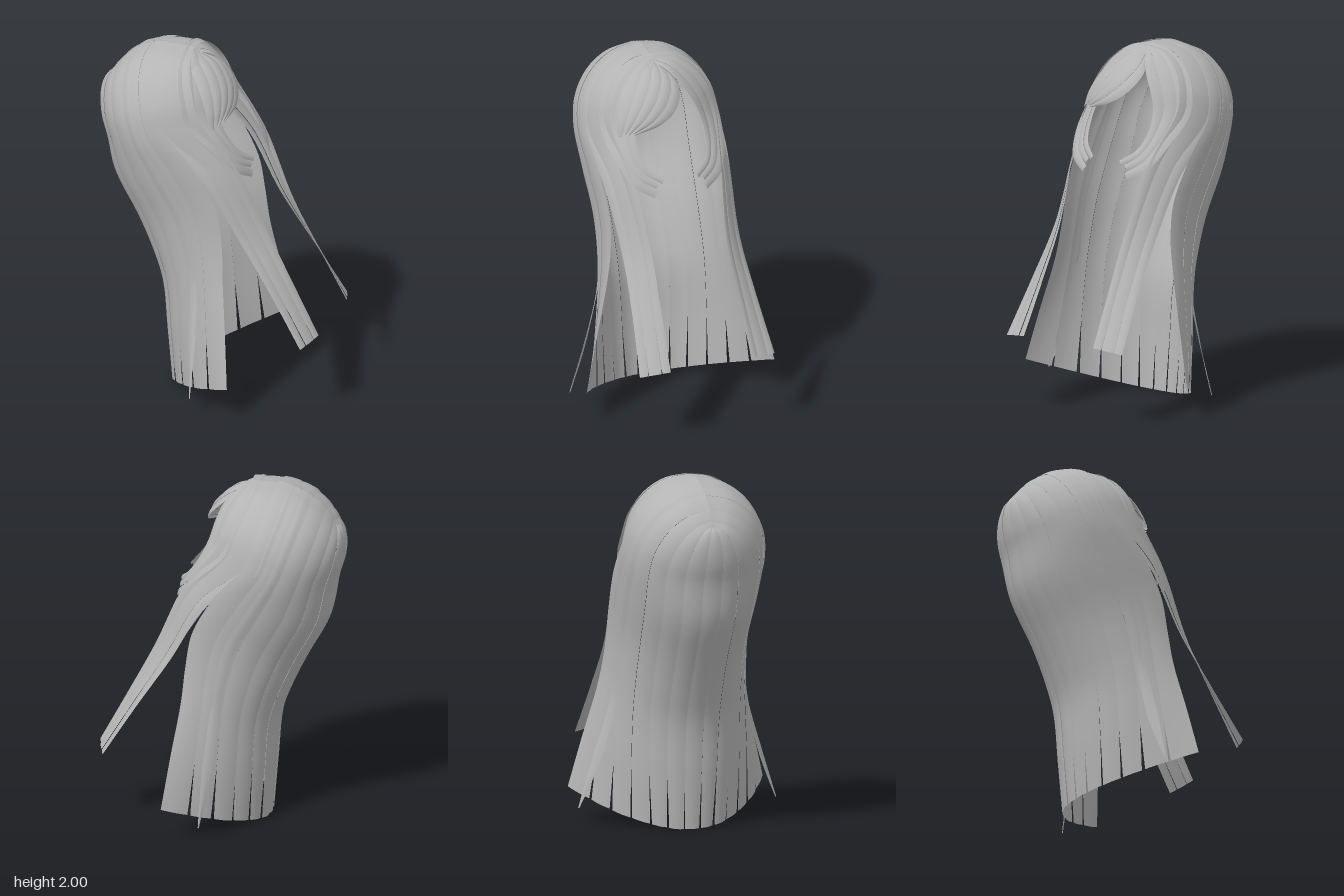
import * as THREE from 'three';

const hair = new THREE.MeshStandardMaterial({ color: 0xb4b4b4, side: THREE.DoubleSide });
hair.name = 'hair grey';

const RAD = Math.PI / 180, CENTRE = 0.25, CROWN = 1.6, EDGE = 100;
const lerp = THREE.MathUtils.lerp;
const V = (x, y, z) => new THREE.Vector3(x, y, z);

// Long fall below the crown: height, centre z, back z, half width, round (0) to parabolic (1)
const FALL = [
  [1.38, 0.31, -0.195, 0.395, 0], [1.1, 0.35, -0.165, 0.38, 0], [0.9, 0.32, -0.15, 0.387, 0.05],
  [0.7, 0.27, -0.155, 0.42, 0.25], [0.41, 0.2, -0.235, 0.495, 0.65], [0.12, 0.13, -0.32, 0.57, 1],
];

// Rounded path from the parting to the widest ring of the head (0 = back, 180 = face)
function dome(deg) {
  const a = deg * RAD, k = THREE.MathUtils.smoothstep(Math.abs(deg), 25, 140);
  const rootZ = lerp(-0.03, 0.51, k);
  const rootY = CROWN + 0.41 * Math.sqrt(1 - ((rootZ - CENTRE) / 0.42) ** 2);
  const ringX = 0.397 * Math.sin(a), ringZ = CENTRE - 0.405 * Math.cos(a);
  return [0, 22.5, 45, 67.5, 90].map((d) => {
    const s = Math.sin(d * RAD), c = Math.cos(d * RAD);
    return V(ringX * s, CROWN + (rootY - CROWN) * c, lerp(rootZ, ringZ, s));
  });
}

function fallColumn(deg) {
  const a = deg * RAD, s = deg / EDGE;
  return dome(deg).concat(FALL.map(([y, c, b, w, k]) => V(
    w * lerp(Math.sin(a), s, k), y, c - (c - b) * lerp(Math.cos(a), 1 - 1.17 * s * s, k))));
}

// Column blended between an outer and an inner path
const path = (points) => points.map((p) => V(...p));
const blendColumn = (outer, inner) => (f) => outer.map((o, i) => o.clone().lerp(inner[i], f));

// A strand: columns f0..f1 of a sheet, slightly domed and narrowed at the tip
function strand(name, column, f0, f1, { lift = 0, bulge = 0.004, pinch = 0.1, mirror = 1, nf = 6, nt = 50, trim = 1 } = {}) {
  const curve = (f) => new THREE.CatmullRomCurve3(column(f));
  const mid = curve((f0 + f1) / 2), pos = [], idx = [];
  for (let i = 0; i <= nf; i++) {
    const s = i / nf, c = curve(lerp(f0, f1, s));
    for (let j = 0; j <= nt; j++) {
      const t = (j / nt) * trim, p = c.getPoint(t);
      p.lerp(mid.getPoint(t), pinch * THREE.MathUtils.clamp((j / nt - 0.9) / 0.1, 0, 1));
      const out = V(p.x, Math.max(0, p.y - CROWN), p.z - CENTRE).normalize();
      p.addScaledVector(out, (lift + bulge * (1 - (2 * s - 1) ** 2)) * Math.min(1, 0.3 + t * 4));
      pos.push(p.x * mirror, p.y, p.z);
      if (i < nf && j < nt) {
        const a = i * (nt + 1) + j, b = a + nt + 1;
        if (mirror > 0) idx.push(a, a + 1, b, b, a + 1, b + 1);
        else idx.push(a, b, a + 1, b, b + 1, a + 1);
      }
    }
  }
  const g = new THREE.BufferGeometry();
  g.setAttribute('position', new THREE.Float32BufferAttribute(pos, 3));
  g.setIndex(idx);
  g.computeVertexNormals();
  const m = new THREE.Mesh(g, hair);
  m.name = name;
  return m;
}

export function createModel() {
  const wig = new THREE.Group();
  wig.name = 'longHair';

  // Back and side fall, split at the hem
  const N = 13;
  for (let i = 0; i < N; i++) {
    const a = lerp(-EDGE, EDGE, i / N), b = lerp(-EDGE, EDGE, (i + 1) / N);
    wig.add(strand('backStrand', fallColumn, a, b, { lift: [0, 0.003, 0.001][i % 3], pinch: 0.06 + 0.05 * (i % 3) }));
  }

  // Front locks and cheek curls, as outer and inner paths
  const lock = blendColumn(
    [...dome(88), ...path([[0.375, 1.29, 0.42], [0.35, 0.87, 0.495], [0.37, 0.54, 0.565], [0.405, 0.2, 0.63]])],
    [...dome(129), ...path([[0.265, 1.29, 0.59], [0.225, 0.87, 0.615], [0.23, 0.54, 0.65], [0.24, 0.205, 0.69]])]);
  const curl = blendColumn(
    [...dome(118), ...path([[0.325, 1.4, 0.53], [0.265, 1.25, 0.585], [0.16, 1.165, 0.61]])],
    path([[0, 1.9, 0.5], [0.045, 1.85, 0.55], [0.095, 1.77, 0.58], [0.15, 1.68, 0.58], [0.19, 1.58, 0.57],
      [0.2, 1.45, 0.58], [0.17, 1.34, 0.605], [0.09, 1.265, 0.635]]));

  for (const mirror of [-1, 1]) {
    const side = mirror < 0 ? 'right' : 'left';
    [[0, 0.3], [0.3, 0.72], [0.72, 1]].forEach(([a, b], i) => wig.add(
      strand(side + 'FrontLock', lock, a, b, { mirror, lift: 0.004 + 0.003 * (i % 2), pinch: 0.06 })));
    [[0, 0.4], [0.4, 0.72], [0.72, 1]].forEach(([a, b], i) => wig.add(
      strand(side + 'CheekCurl', curl, a, b, { mirror, lift: 0.004 + 0.002 * (i % 2), pinch: 0.15, trim: 1 - 0.02 * (i % 2) })));
    // Loose wisp beside the fall
    const wisp = (d) => fallColumn(d).map((p) => {
      p.x *= 1 + 0.7 * Math.max(0, 0.6 - p.y);
      return p;
    });
    wig.add(strand(side + 'Wisp', wisp, 71, 78, { mirror, lift: 0.006, pinch: 0.9, nf: 3 }));
  }

  // Swept fringe between three guide paths
  const guides = [
    [[0, 1.96, 0.38], [-0.15, 1.86, 0.49], [-0.24, 1.74, 0.535], [-0.285, 1.62, 0.545], [-0.295, 1.53, 0.54]],
    [[0, 1.935, 0.45], [-0.03, 1.83, 0.57], [-0.1, 1.71, 0.62], [-0.18, 1.61, 0.615], [-0.25, 1.535, 0.58]],
    [[0, 1.9, 0.5], [0.085, 1.765, 0.585], [0.04, 1.645, 0.63], [-0.06, 1.57, 0.635], [-0.21, 1.53, 0.595]],
  ];
  const fringe = (f) => guides[0].map((_, i) => V(...[0, 1, 2].map((k) => {
    const [a, b, c] = guides.map((g) => g[i][k]);
    return a * (1 - f) * (1 - 2 * f) + 4 * b * f * (1 - f) + c * f * (2 * f - 1);
  })));
  for (let i = 0; i < 5; i++) {
    wig.add(strand('fringeStrand', fringe, i / 5, (i + 1) / 5, { lift: 0.005 + 0.002 * (i % 2), pinch: 0.2, nt: 24, trim: 1 - 0.03 * (i % 2) }));
  }

  // Turned to the side with the head tipped back
  wig.rotation.set(-21 * RAD, 56 * RAD, 0, 'YXZ');
  wig.position.set(0.014, 0, -0.02);
  const model = new THREE.Group();
  model.name = 'hairModel';
  model.add(wig);
  return model;
}
